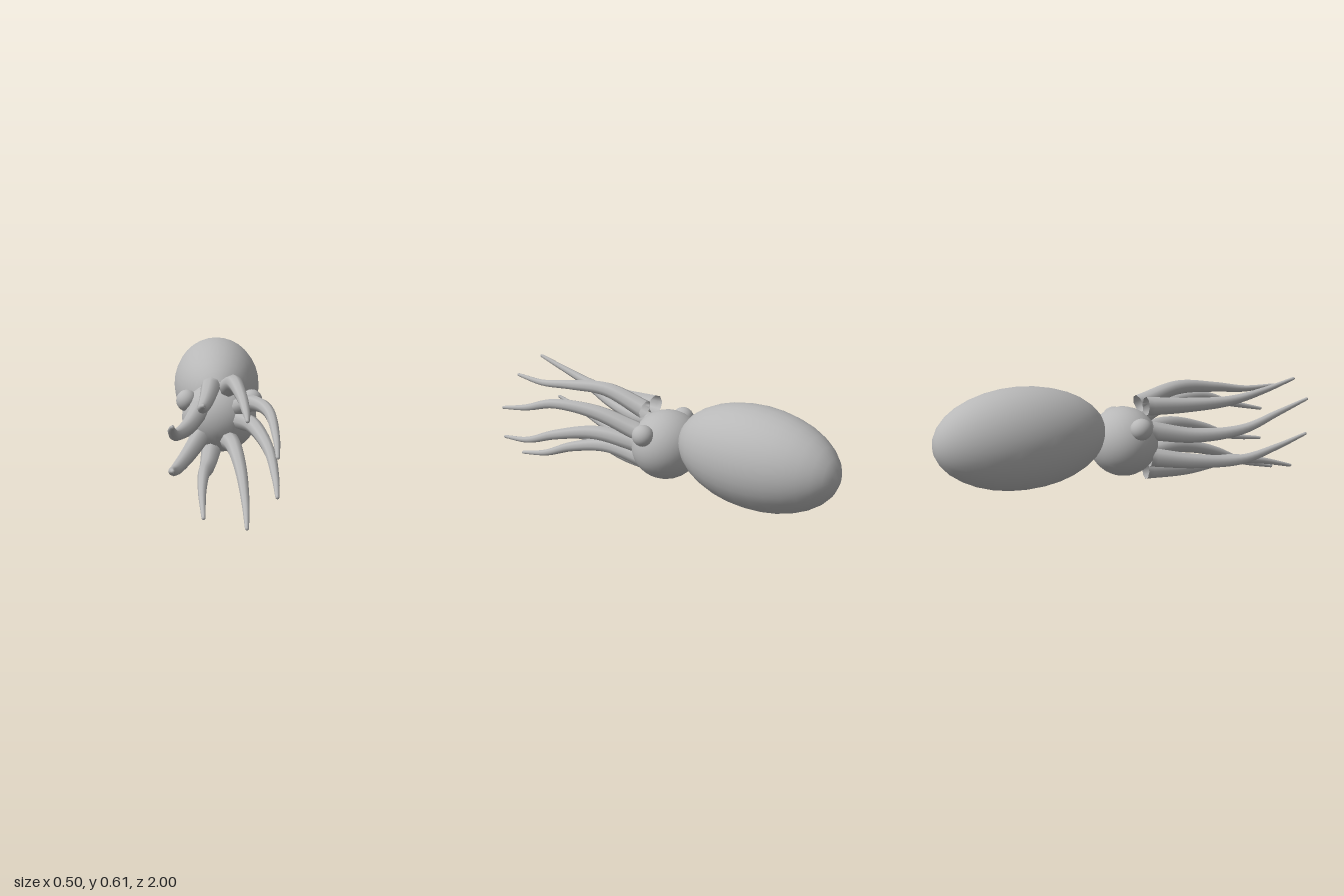
import * as THREE from 'three';

const skin = new THREE.MeshStandardMaterial({ color: 0xb8b8b8, side: THREE.DoubleSide });
skin.name = 'greySkin';

// Smooth ellipsoid with its poles along z
function ellipsoid(name, x, y, z, rx, ry, rz, segments = 32) {
  const geometry = new THREE.SphereGeometry(1, segments, segments / 2);
  geometry.rotateX(Math.PI / 2);
  geometry.scale(rx, ry, rz);
  const mesh = new THREE.Mesh(geometry, skin);
  mesh.name = name;
  mesh.position.set(x, y, z);
  return mesh;
}

// Tapered arm, open at its base and rounded at its tip
function arm(name, xs, ys) {
  const zs = [0.115, 0.35, 0.6, 0.8, 0.991];
  const path = new THREE.CatmullRomCurve3(zs.map((z, i) => new THREE.Vector3(xs[i], ys[i], z)));
  const rings = 28, sides = 8, baseRadius = 0.05, tipRadius = 0.009;
  const geometry = new THREE.TubeGeometry(path, rings, baseRadius, sides);
  const position = geometry.attributes.position;
  const vertex = new THREE.Vector3();
  for (let i = 0; i <= rings; i++) {
    const t = i / rings;
    const centre = path.getPointAt(t);
    const scale = THREE.MathUtils.lerp(1, tipRadius / baseRadius, t);
    for (let j = 0; j <= sides; j++) {
      const k = i * (sides + 1) + j;
      vertex.fromBufferAttribute(position, k).sub(centre).multiplyScalar(scale).add(centre);
      position.setXYZ(k, vertex.x, vertex.y, vertex.z);
    }
  }
  geometry.computeVertexNormals();

  // Share the normals across the tube seam
  const normal = geometry.attributes.normal;
  const other = new THREE.Vector3();
  for (let i = 0; i <= rings; i++) {
    const a = i * (sides + 1), b = a + sides;
    vertex.fromBufferAttribute(normal, a).add(other.fromBufferAttribute(normal, b)).normalize();
    normal.setXYZ(a, vertex.x, vertex.y, vertex.z);
    normal.setXYZ(b, vertex.x, vertex.y, vertex.z);
  }

  const group = new THREE.Group();
  group.name = name;
  const limb = new THREE.Mesh(geometry, skin);
  limb.name = name + 'Limb';
  const tip = ellipsoid(name + 'Tip', xs[4], ys[4], zs[4], tipRadius, tipRadius, tipRadius, 8);
  group.add(limb, tip);
  return group;
}

export function createModel() {
  const model = new THREE.Group();
  model.name = 'squid';

  // Body
  model.add(ellipsoid('mantle', 0, 0.352, -0.553, 0.24, 0.258, 0.447));
  model.add(ellipsoid('head', 0, 0.281, 0.005, 0.193, 0.181, 0.18));
  for (const side of [1, -1]) {
    model.add(ellipsoid(side > 0 ? 'leftEye' : 'rightEye', side * 0.168, 0.374, 0.027, 0.054, 0.056, 0.058, 24));
  }

  // Arms: each side has two inner and two outer ones, waving differently
  const inner = [0.045, 0.065, 0.088, 0.097, 0.093];
  const outer = [0.1, 0.16, 0.215, 0.229, 0.222];
  const arms = [
    ['leftTopArm', 1, inner, [0.46, 0.524, 0.505, 0.478, 0.484]],
    ['leftUpperArm', 1, outer, [0.355, 0.425, 0.432, 0.37, 0.325]],
    ['leftLowerArm', 1, outer, [0.29, 0.31, 0.255, 0.18, 0.15]],
    ['leftBottomArm', 1, inner, [0.185, 0.205, 0.145, 0.06, 0.011]],
    ['rightBottomArm', -1, inner, [0.125, 0.115, 0.138, 0.11, 0.06]],
    ['rightLowerArm', -1, outer, [0.205, 0.172, 0.167, 0.215, 0.268]],
    ['rightUpperArm', -1, outer, [0.345, 0.31, 0.33, 0.4, 0.46]],
    ['rightTopArm', -1, inner, [0.463, 0.453, 0.46, 0.5, 0.55]],
  ];
  for (const [name, side, xs, ys] of arms) {
    model.add(arm(name, xs.map((x) => x * side), ys));
  }
  return model;
}
